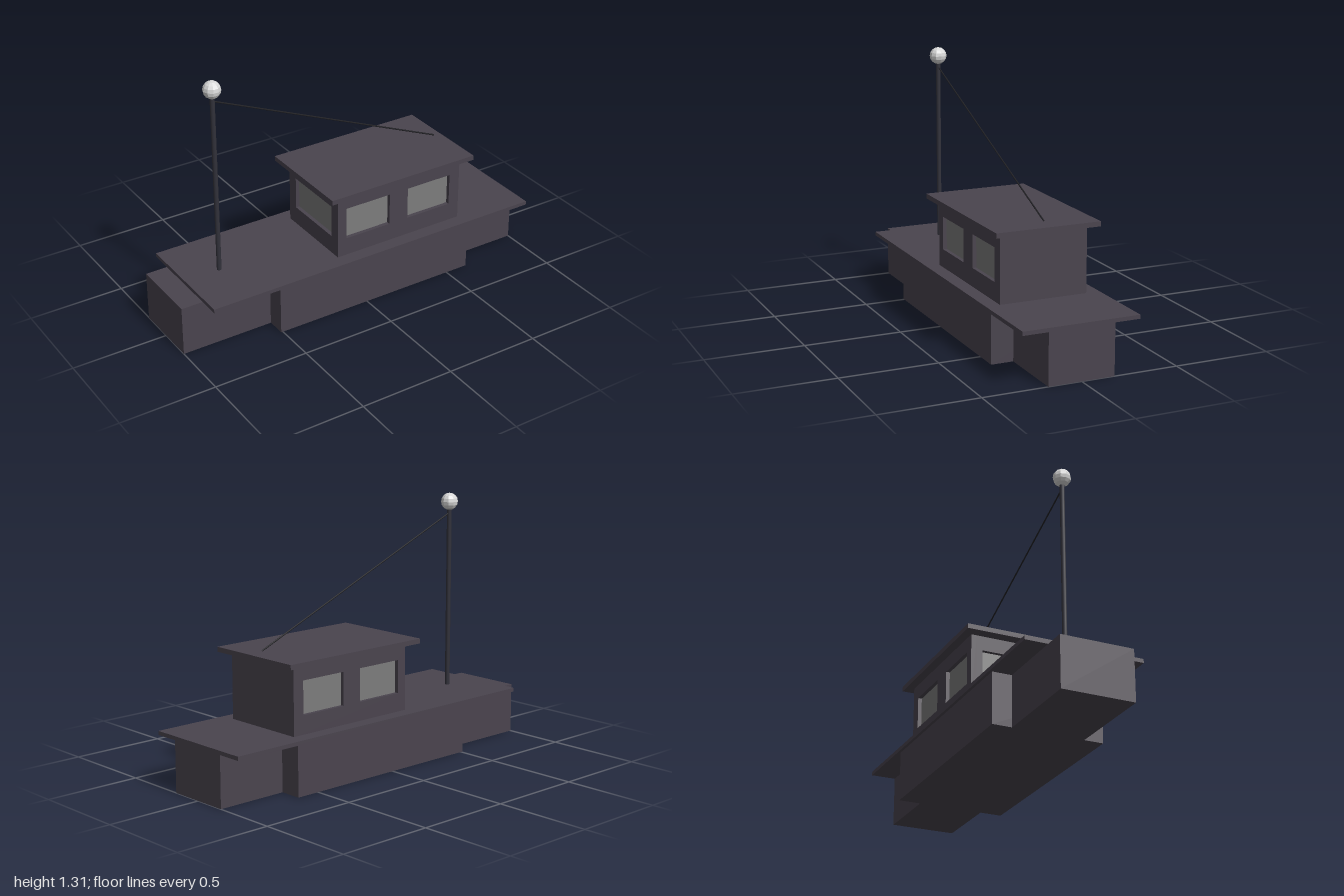
import * as THREE from 'three';

const mat = (name, color) => {
  const m = new THREE.MeshStandardMaterial({ color });
  m.name = name;
  return m;
};

export function createModel() {
  const paint = mat('hull paint', 0x4a444e);
  const glass = mat('window glass', 0x7c7c7c);
  const metal = mat('mast metal', 0x32323b);
  const white = mat('lamp white', 0xd8d8d8);
  const cord = mat('stay wire', 0x222226);

  const group = new THREE.Group();
  group.name = 'boat';
  const add = (name, geometry, material, parent = group) => {
    const mesh = new THREE.Mesh(geometry, material);
    mesh.name = name;
    parent.add(mesh);
    return mesh;
  };
  const box = (name, material, x0, x1, y0, y1, halfZ) =>
    add(name, new THREE.BoxGeometry(x1 - x0, y1 - y0, halfZ * 2), material)
      .position.set((x0 + x1) / 2, (y0 + y1) / 2, 0);

  // Stepped hull and deck
  box('hullMiddle', paint, -0.51, 0.625, 0, 0.26, 0.285);
  box('hullBow', paint, -1, -0.51, 0, 0.26, 0.185);
  box('hullStern', paint, 0.625, 1, 0, 0.26, 0.17);
  box('deck', paint, -0.885, 1, 0.26, 0.28, 0.3);
  box('cabinRoof', paint, -0.2, 0.655, 0.62, 0.645, 0.272);

  // Cabin walls: outer face at local z = 0, thickness inward, windows recessed
  const thick = 0.03, recess = 0.02, base = 0.28, top = 0.62;
  const wall = (name, u0, u1, windows) => {
    const part = new THREE.Group();
    part.name = name;
    const rect = (Type, a, b, c, d) => new Type([
      new THREE.Vector2(a, c), new THREE.Vector2(b, c),
      new THREE.Vector2(b, d), new THREE.Vector2(a, d),
    ]);
    const shape = rect(THREE.Shape, u0, u1, base, top);
    for (const [a, b] of windows) {
      shape.holes.push(rect(THREE.Path, a, b, 0.375, 0.545));
      add('window', new THREE.BoxGeometry(b - a, 0.17, 0.006), glass, part)
        .position.set((a + b) / 2, 0.46, -recess - 0.003);
    }
    const geometry = new THREE.ExtrudeGeometry(shape, { depth: thick, bevelEnabled: false });
    geometry.translate(0, 0, -thick);
    add('wallPanel', geometry, paint, part);
    group.add(part);
    return part;
  };
  const x0 = -0.14, x1 = 0.6, hz = 0.228;
  const panes = [[-0.09, 0.17], [0.28, 0.54]];
  wall('cabinFrontWall', x0, x1, panes).position.z = hz;
  const back = wall('cabinBackWall', -x1, -x0, panes.map(([a, b]) => [-b, -a]));
  back.position.z = -hz;
  back.rotation.y = Math.PI;
  const inner = hz - thick;
  const bowWall = wall('cabinBowWall', -inner, inner, [[-0.168, 0.168]]);
  bowWall.position.x = x0;
  bowWall.rotation.y = -Math.PI / 2;
  const sternWall = wall('cabinSternWall', -inner, inner, []);
  sternWall.position.x = x1;
  sternWall.rotation.y = Math.PI / 2;

  // Mast with faceted lamp
  const mx = -0.69;
  add('mast', new THREE.CylinderGeometry(0.0125, 0.0125, 0.97, 8), metal)
    .position.set(mx, 0.765, 0);
  add('mastLamp', new THREE.SphereGeometry(0.045, 10, 8).toNonIndexed(), white)
    .position.set(mx, 1.265, 0);
  const lamp = group.getObjectByName('mastLamp');
  lamp.geometry.computeVertexNormals();

  // Stay wire from mast to cabin roof
  const from = new THREE.Vector3(mx, 1.205, 0), to = new THREE.Vector3(0.6, 0.66, 0);
  add('stayWire', new THREE.TubeGeometry(new THREE.LineCurve3(from, to), 1, 0.004, 6), cord);

  return group;
}
